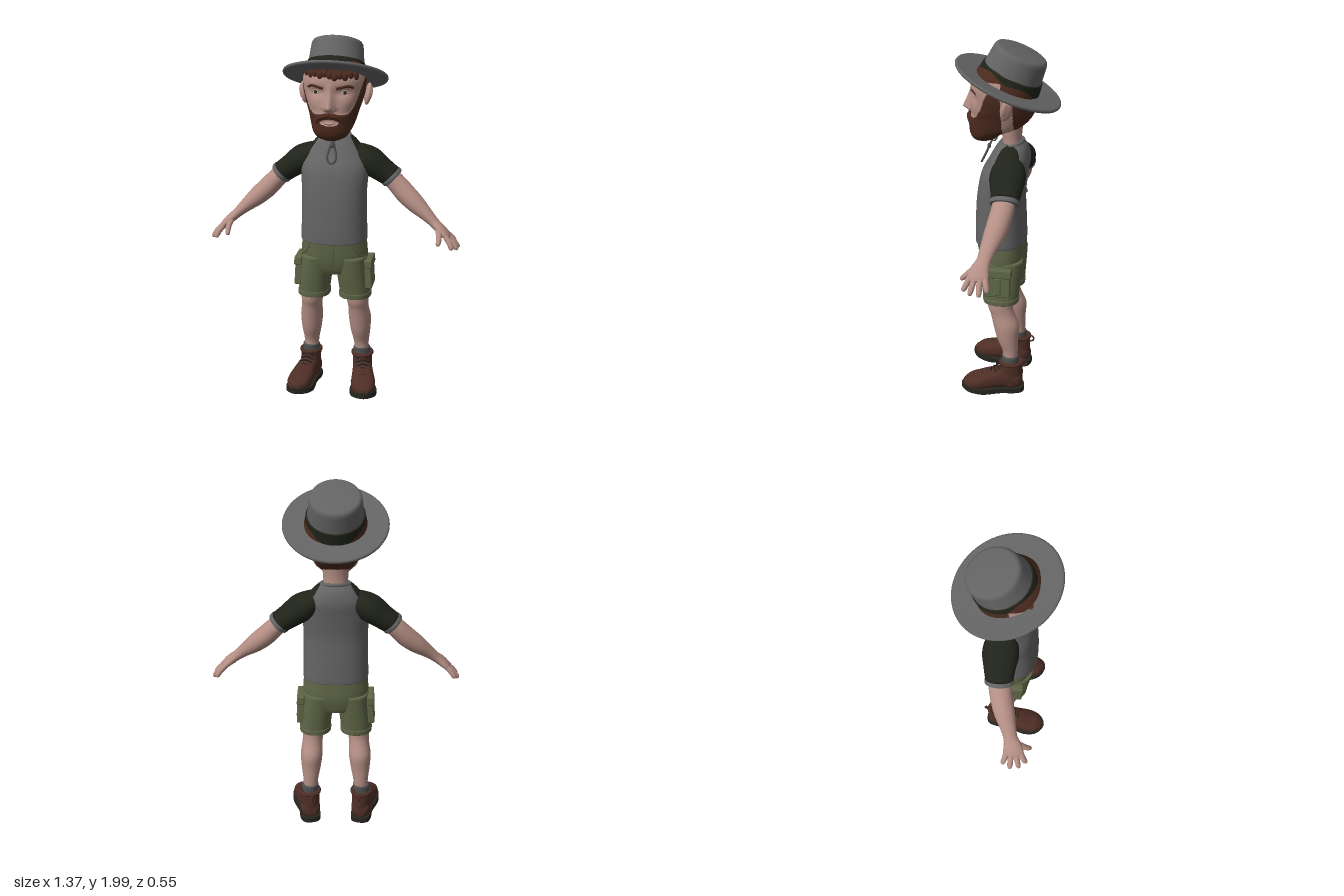
import * as THREE from 'three';
import { RoundedBoxGeometry } from 'three/addons/geometries/RoundedBoxGeometry.js';

const mat = (name, color) => Object.assign(new THREE.MeshStandardMaterial({ color }), { name });
const V = (x, y, z) => new THREE.Vector3(x, y, z);
const X = V(1, 0, 0), Y = V(0, 1, 0), Z = V(0, 0, 1);

// Closed skin through sections [x, y, z, radiusAlongRef, radiusAcross].
// With a fixed axis all rings stay parallel, otherwise they follow the path.
function loft(secs, { seg = 24, rows = 6, ref = X, axis = null, power = 2 } = {}) {
  const path = new THREE.CatmullRomCurve3(secs.map(s => V(s[0], s[1], s[2])), false, 'catmullrom', 0.5);
  const radii = new THREE.CatmullRomCurve3(secs.map(s => V(s[3], s[4], 0)), false, 'catmullrom', 0.5);
  const n = (secs.length - 1) * rows, pos = [], idx = [];
  const sp = v => Math.sign(v) * Math.abs(v) ** (2 / power);
  for (let i = 0; i <= n; i++) {
    const c = path.getPoint(i / n), r = radii.getPoint(i / n);
    const T = axis || path.getTangent(i / n);
    const U = ref.clone().addScaledVector(T, -ref.dot(T)).normalize(), W = T.clone().cross(U);
    for (let j = 0; j < seg; j++) {
      const a = j / seg * Math.PI * 2;
      const p = c.clone().addScaledVector(U, sp(Math.cos(a)) * r.x).addScaledVector(W, sp(Math.sin(a)) * r.y);
      pos.push(p.x, p.y, p.z);
      const k = i * seg + j, m = i * seg + (j + 1) % seg;
      if (i < n) idx.push(k, m, k + seg, m, m + seg, k + seg);
    }
  }
  const base = (n + 1) * seg;
  for (const t of [0, 1]) { const c = path.getPoint(t); pos.push(c.x, c.y, c.z); }
  for (let j = 0; j < seg; j++) {
    const m = (j + 1) % seg;
    idx.push(base, m, j, base + 1, n * seg + j, n * seg + m);
  }
  const g = new THREE.BufferGeometry();
  g.setAttribute('position', new THREE.Float32BufferAttribute(pos, 3));
  g.setIndex(idx);
  g.computeVertexNormals();
  return g;
}

// Sort faces into two material groups by a rule on the face centre
function paint(g, rule) {
  const p = g.attributes.position, ix = g.index.array, sets = [[], []];
  for (let i = 0; i < ix.length; i += 3) {
    const f = [ix[i], ix[i + 1], ix[i + 2]];
    const mid = get => f.reduce((s, k) => s + p[get](k), 0) / 3;
    sets[rule(mid('getX'), mid('getY'), mid('getZ')) ? 1 : 0].push(...f);
  }
  g.setIndex([...sets[0], ...sets[1]]);
  g.addGroup(0, sets[0].length, 0);
  g.addGroup(sets[0].length, sets[1].length, 1);
  return g;
}

export function createModel() {
  const root = new THREE.Group();
  const skin = mat('skin', 0xb58f85), hair = mat('hair brown', 0x4c2a1e), grey = mat('cloth grey', 0x646464);
  const dark = mat('dark green', 0x20241a), olive = mat('olive cloth', 0x5f6647), boot = mat('boot leather', 0x4e2e26);
  const soleMat = mat('sole', 0x26251f), white = mat('eye white', 0xc8c0b8), cord = mat('cord grey', 0x4c4e4e);
  const add = (name, geo, m, parent = root) => {
    const o = new THREE.Mesh(geo, m);
    o.name = name;
    parent.add(o);
    return o;
  };
  const ball = (name, m, p, s, parent) => {
    const o = add(name, new THREE.SphereGeometry(1, 20, 14), m, parent);
    o.position.set(...p);
    o.scale.set(...s);
    return o;
  };
  const tube = (name, pts, r, m, parent, closed = false) => add(name,
    new THREE.TubeGeometry(new THREE.CatmullRomCurve3(pts.map(p => V(...p)), closed), 28, r, 6, closed), m, parent);

  // Head: rows of [y, half width, front z, back z]
  const rowsHead = [[1.457, .035, .155, .09], [1.475, .075, .18, .06], [1.505, .099, .195, .02], [1.545, .116, .2, -.075],
    [1.6, .132, .197, -.13], [1.66, .152, .192, -.153], [1.72, .166, .19, -.158], [1.78, .165, .193, -.16],
    [1.85, .145, .16, -.155], [1.9, .11, .09, -.13], [1.92, .05, .02, -.07]];
  const headGeo = loft(rowsHead.map(([y, w, f, b]) => [0, y, (f + b) / 2, w, (f - b) / 2]),
    { seg: 144, rows: 10, axis: Y, power: 2.25 });
  const isHair = (x, y, z) => {
    const ax = Math.abs(x);
    if (y > 1.815 || z < -.045 && y > 1.53) return true;
    if (z < .015) return y > 1.745 || y < 1.5;
    if ((ax / .05) ** 2 + ((y - 1.562) / .017) ** 2 < 1 && z > .1) return false;
    return y < 1.602 + (Math.max(0, ax - .08) / .07) ** 2 * .12;
  };
  const hp = headGeo.attributes.position;
  for (let i = 0; i < hp.count; i++) {
    const x = hp.getX(i), y = hp.getY(i), z = hp.getZ(i), ax = Math.abs(x);
    if (z < .08) continue;
    const rise = y > 1.637 ? Math.max(0, (1.765 - y) / .128) : Math.max(0, 1 - (1.637 - y) / .025);
    const nose = .05 * rise * Math.exp(-((ax / (.014 + .012 * rise)) ** 2));
    const socket = -.014 * Math.exp(-(((ax - .07) / .04) ** 2) - ((y - 1.715) / .022) ** 2);
    const cheek = .006 * Math.exp(-(((ax - .09) / .035) ** 2) - ((y - 1.655) / .03) ** 2);
    hp.setZ(i, z + nose + socket + cheek + (isHair(x, y, z) && y < 1.65 ? .007 : 0));
  }
  headGeo.computeVertexNormals();
  const faceZ = (x, y) => {
    let best = 1, z = 0;
    for (let i = 0; i < hp.count; i++) {
      const d = Math.hypot(hp.getX(i) - x, hp.getY(i) - y);
      if (hp.getZ(i) > .03 && d < best) { best = d; z = hp.getZ(i); }
    }
    return z;
  };
  add('head', paint(headGeo, isHair), [skin, hair]);
  add('neck', loft([[0, 1.38, -.03, .07, .06], [0, 1.48, -.022, .066, .052], [0, 1.6, -.02, .08, .07]], { axis: Y }), skin);
  for (let i = -5; i <= 5; i++) {
    const x = i * .025, y = 1.806 - .008 * (i % 2);
    ball('fringeCurl', hair, [x, y, faceZ(x, y) - .004], [.019, .024, .018]);
  }
  for (const s of [-1, 1]) {
    // Face details
    const ez = faceZ(s * .075, 1.716);
    const eye = new THREE.Group();
    eye.name = 'eye';
    eye.position.set(s * .075, 1.716, ez - .002);
    eye.rotation.y = s * .3;
    root.add(eye);
    ball('eyeWhite', white, [0, 0, 0], [.024, .011, .008], eye);
    ball('iris', soleMat, [0, 0, .006], [.009, .0095, .004], eye);
    tube('upperLid', [[-.027, -.002, .004], [0, .012, .009], [.027, -.002, .004]], .004, skin, eye);
    const arch = [.035, .065, .095, .118].map((x, i) => {
      const y = [1.738, 1.746, 1.75, 1.74][i];
      return [s * x, y, faceZ(s * x, y) + .001, .005, .007];
    });
    add('eyebrow', loft(arch, { seg: 10, ref: Z }), hair);
    ball('nostril', skin, [s * .02, 1.632, .198], [.013, .012, .016]);
    const stache = [[0, 1.6], [.03, 1.596], [.058, 1.58], [.07, 1.555]].map(([x, y], i) =>
      [s * x, y, faceZ(s * x, y) + .001, [.011, .013, .012, .006][i], [.013, .014, .012, .006][i]]);
    add('moustache', loft(stache, { seg: 12, ref: Z }), hair);
    ball('ear', skin, [s * .172, 1.68, -.018], [.018, .06, .032]).rotation.set(-.15, s * .35, -s * .15);
    ball('earHollow', skin, [s * .187, 1.685, -.012], [.009, .038, .017]).rotation.set(-.15, s * .35, -s * .15);
  }
  ball('lowerLip', skin, [0, 1.557, faceZ(0, 1.557)], [.028, .008, .009]);

  // Hat, tilted back
  const hat = new THREE.Group();
  hat.name = 'hat';
  hat.position.set(0, 1.772, 0);
  hat.rotation.x = -.405;
  hat.scale.x = .935;
  root.add(hat);
  const lathe = (name, pts, m) => add(name, new THREE.LatheGeometry(pts.map(p => new THREE.Vector2(...p)), 64), m, hat);
  lathe('brim', [[.13, -.008], [.22, -.012], [.285, -.006], [.296, -.005], [.3, .003], [.297, .011], [.288, .013],
    [.22, .006], [.13, .008]], grey);
  lathe('crown', [[.168, 0], [.158, .075], [.149, .155], [.146, .172], [.139, .183], [.127, .188], [.07, .192], [0, .193]], grey);
  lathe('hatBand', [[.174, .004], [.173, .01], [.166, .066], [.164, .07], [.155, .07]], dark);

  // Shirt with raglan shoulders
  const shirt = loft([[0, .885, .036, .178, .137], [0, .9, .036, .181, .139], [0, 1.0, .037, .178, .137],
    [0, 1.15, .035, .176, .13], [0, 1.28, .016, .182, .125], [0, 1.36, -.01, .16, .11], [0, 1.42, -.021, .118, .088],
    [0, 1.455, -.022, .08, .064]], { seg: 128, rows: 8, axis: Y, power: 2.3 });
  add('shirt', paint(shirt, (x, y) => y > 1.24 && Math.abs(x) > .184 - .105 * ((y - 1.24) / .215) ** 1.4), [grey, dark]);
  const collar = add('collar', new THREE.TorusGeometry(.076, .01, 10, 40), grey);
  collar.position.set(0, 1.447, -.02);
  collar.rotation.x = Math.PI / 2 + .25;
  collar.scale.y = .85;

  // Chin cord with hanging loop
  for (const s of [-1, 1]) tube('chinCord', [[s * .085, 1.53, .03], [s * .055, 1.475, .06], [0, 1.45, .09]], .004, cord);
  tube('cordLoop', [[0, 1.445, .092], [.012, 1.41, .106], [.024, 1.36, .128], [.012, 1.333, .142], [-.012, 1.333, .142],
    [-.024, 1.36, .128], [-.012, 1.41, .106]], .006, cord, root, true);
  ball('cordBead', cord, [0, 1.42, .103], [.012, .015, .01]);

  // Shorts
  add('shortsSeat', loft([[0, .7, .022, .13, .1], [0, .735, .024, .165, .114], [0, .8, .026, .182, .127], [0, .91, .032, .174, .13]],
    { seg: 48, axis: Y, power: 2.3 }), olive);
  tube('flySeam', [[.012, .885, .163], [.012, .8, .154], [0, .745, .139]], .004, olive);

  for (const s of [-1, 1]) {
    // Arm: sleeve, cuff, forearm, hand
    add('sleeve', loft([[s * .075, 1.375, -.022, .05, .04], [s * .125, 1.35, -.024, .084, .06], [s * .185, 1.313, -.027, .096, .075],
      [s * .25, 1.266, -.03, .083, .066], [s * .303, 1.229, -.03, .073, .06]], { seg: 40, ref: Z }), dark);
    add('sleeveCuff', loft([[s * .295, 1.235, -.03, .075, .061], [s * .299, 1.231, -.03, .078, .064], [s * .309, 1.222, -.03, .077, .063],
      [s * .313, 1.218, -.03, .073, .059]], { seg: 40, ref: Z }), grey);
    add('arm', loft([[s * .27, 1.25, -.03, .06, .05], [s * .325, 1.2, -.026, .06, .052], [s * .38, 1.143, -.014, .06, .055],
      [s * .44, 1.09, .003, .055, .05], [s * .5, 1.04, .023, .043, .036], [s * .545, 1.0, .037, .038, .027],
      [s * .583, .968, .05, .05, .025], [s * .613, .94, .055, .055, .02], [s * .628, .924, .055, .045, .012]], { seg: 32, ref: Z }), skin);
    const fingers = [[.61, .94, .095, .645, .877, .125], [.618, .934, .07, .672, .868, .087],
      [.618, .934, .042, .678, .866, .037], [.61, .942, .017, .657, .882, -.003], [.568, .972, .08, .572, .905, .15]];
    for (const [a, b, c, d, e, f] of fingers) {
      const at = (t, r) => [s * (a + (d - a) * t + .008 * Math.sin(t * 3)), b + (e - b) * t, c + (f - c) * t, r, r];
      add('finger', loft([at(0, .015), at(.35, .0155), at(.7, .0145), at(.93, .011), at(1, .004)], { seg: 12, ref: Z, rows: 4 }), skin);
    }

    // Shorts leg, hem and cargo pocket
    add('shortsLeg', loft([[s * .115, .56, .02, .085, .095], [s * .113, .6, .021, .086, .1], [s * .102, .7, .024, .088, .112],
      [s * .092, .8, .026, .088, .122]], { seg: 40, axis: Y, power: 2.3 }), olive);
    add('shortsHem', loft([[s * .115, .556, .02, .086, .096], [s * .115, .559, .02, .089, .099], [s * .115, .582, .02, .089, .101],
      [s * .115, .586, .02, .085, .097]], { seg: 40, axis: Y, power: 2.3 }), olive);
    const box = (name, w, h, d, x, y) => {
      const o = add(name, new RoundedBoxGeometry(w, h, d, 3, .008), olive);
      o.position.set(s * x, y, .024);
      o.rotation.z = s * .06;
    };
    box('cargoPocket', .04, .13, .135, .194, .682);
    box('pocketFlap', .042, .05, .148, .195, .757);
    box('pocketPleat', .045, .105, .035, .196, .68);
    tube('hipPocketSeam', [[s * .115, .885, .145], [s * .135, .84, .13], [s * .172, .8, .09]], .004, olive);

    // Leg and sock
    add('leg', loft([[s * .145, .18, -.035, .04, .04], [s * .143, .25, -.035, .042, .043], [s * .14, .33, -.02, .055, .06],
      [s * .137, .41, -.012, .062, .072], [s * .132, .48, .01, .057, .067], [s * .128, .53, .024, .06, .07],
      [s * .12, .62, .025, .065, .075]], { seg: 32, axis: Y }), skin);
    add('sock', loft([[s * .147, .16, -.037, .048, .048], [s * .147, .205, -.037, .048, .048], [s * .146, .218, -.036, .047, .047],
      [s * .146, .222, -.036, .042, .043]], { axis: Y }), cord);

    // Boot, toes turned out
    const b = new THREE.Group();
    b.name = 'boot';
    b.position.set(s * .15, 0, -.035);
    b.rotation.y = s * .17;
    root.add(b);
    add('bootFoot', loft([[0, .065, -.072, .025, .025], [0, .075, -.045, .052, .05], [0, .085, .03, .056, .063], [0, .077, .1, .062, .056],
      [0, .064, .17, .068, .047], [0, .056, .225, .058, .038], [0, .05, .262, .025, .018]], { seg: 32, axis: Z, power: 2.4 }), boot, b);
    add('bootShaft', loft([[0, .04, -.005, .054, .066], [0, .11, -.003, .055, .07], [0, .18, -.008, .056, .063]],
      { seg: 32, axis: Y }), boot, b);
    const rim = add('bootCollar', new THREE.TorusGeometry(.053, .011, 10, 32), boot, b);
    rim.position.set(0, .18, -.008);
    rim.rotation.x = Math.PI / 2;
    rim.scale.y = 1.12;
    const outline = [[0, -.078], [.042, -.066], [.055, -.02], [.053, .05], [.066, .12], [.072, .175], [.056, .235], [0, .272]];
    const full = [...outline, ...outline.slice(1, -1).reverse().map(([x, z]) => [-x, z])];
    const shape = new THREE.Shape(new THREE.CatmullRomCurve3(full.map(([x, z]) => V(x, -z, 0)), true).getPoints(48)
      .map(p => new THREE.Vector2(p.x, p.y)));
    const sole = new THREE.ExtrudeGeometry(shape, { depth: .026, bevelSize: .003, bevelThickness: .003, bevelSegments: 2 });
    sole.rotateX(-Math.PI / 2).translate(0, .004, 0);
    const sp = sole.attributes.position;
    for (let i = 0; i < sp.count; i++) sp.setY(i, sp.getY(i) + Math.max(0, sp.getZ(i) - .15) * .14);
    sole.computeVertexNormals();
    add('sole', sole, soleMat, b);
    for (let i = 0; i < 4; i++) {
      const y = .125 + i * .016, z = .108 - i * .017;
      tube('lace', [[-.036, y - .012, z - .012], [0, y + .006, z], [.036, y - .012, z - .012]], .005, soleMat, b);
    }
    tube('toeSeam', [[-.066, .06, .13], [-.045, .1, .15], [0, .115, .158], [.045, .1, .15], [.066, .06, .13]], .004, boot, b);
    const pull = add('pullLoop', new THREE.TorusGeometry(.018, .005, 8, 20), boot, b);
    pull.position.set(0, .172, -.078);
    pull.rotation.y = Math.PI / 2;
  }
  return root;
}
